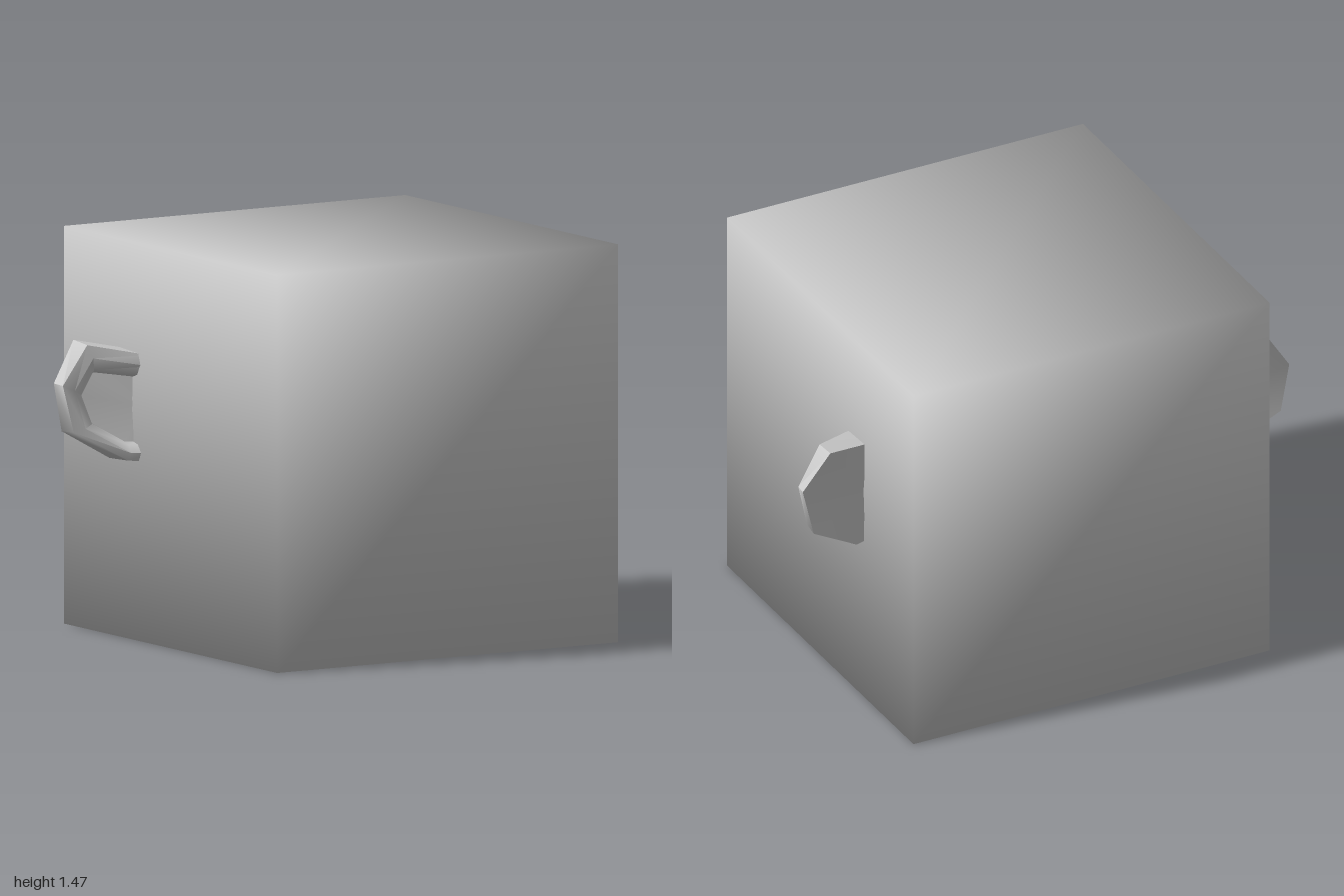
import * as THREE from 'three';
import { mergeVertices, toCreasedNormals } from 'three/addons/utils/BufferGeometryUtils.js';

const SIZE = 1.464;
const grey = new THREE.MeshStandardMaterial({ color: 0xcccccc });

// Cube with normals blended across its eight shared corners
function createHead() {
  let geo = new THREE.BoxGeometry(SIZE, SIZE, SIZE);
  geo.deleteAttribute('uv');
  geo.deleteAttribute('normal');
  geo = mergeVertices(geo);
  const p = geo.attributes.position;
  const normals = [];
  for (let i = 0; i < p.count; i++) {
    normals.push(...new THREE.Vector3().fromBufferAttribute(p, i).normalize().toArray());
  }
  geo.setAttribute('normal', new THREE.Float32BufferAttribute(normals, 3));
  const mesh = new THREE.Mesh(geo, grey);
  mesh.position.y = SIZE / 2 + 0.001;
  mesh.name = 'head';
  return mesh;
}

// Ear stations around the rim: outer x, y, inner x, y, front z, back z
const RIM = [
  [0.70, 1.06, 0.70, 0.965, -0.19, -0.34],
  [0.90, 1.10, 0.86, 0.985, -0.295, -0.40],
  [1.00, 0.95, 0.90, 0.90, -0.31, -0.375],
  [0.96, 0.77, 0.86, 0.80, -0.30, -0.385],
  [0.77, 0.66, 0.76, 0.73, -0.22, -0.36],
  [0.70, 0.655, 0.70, 0.73, -0.19, -0.33],
];

function createEar(side) {
  const pos = [];
  const index = [];
  const rows = 5;
  const face = (a, b, c) => index.push(...(side > 0 ? [a, b, c] : [a, c, b]));

  // Rim section: back edge, outer wall, rounded crest, inner lip, recess floor
  for (const [ox, oy, ix, iy, front, back] of RIM) {
    const section = [
      [0, back],
      [0.08, front - 0.015],
      [0.5, front],
      [0.9, front - 0.02],
      [1, front - 0.05],
    ];
    for (const [t, z] of section) {
      pos.push(side * THREE.MathUtils.lerp(ox, ix, t), THREE.MathUtils.lerp(oy, iy, t), z);
    }
  }
  const backCentre = pos.length / 3;
  pos.push(side * 0.70, 0.86, -0.335, side * 0.70, 0.86, -0.245);
  const floorCentre = backCentre + 1;

  for (let s = 0; s < RIM.length - 1; s++) {
    const a = s * rows;
    const b = a + rows;
    for (let r = 0; r < rows - 1; r++) {
      face(a + r, a + r + 1, b + r + 1);
      face(a + r, b + r + 1, b + r);
    }
    face(backCentre, a, b);
    face(floorCentre, b + rows - 1, a + rows - 1);
  }
  const geo = new THREE.BufferGeometry();
  geo.setAttribute('position', new THREE.Float32BufferAttribute(pos, 3));
  geo.setIndex(index);
  const mesh = new THREE.Mesh(toCreasedNormals(geo, 0.8), grey);
  mesh.name = side > 0 ? 'leftEar' : 'rightEar';
  return mesh;
}

// Round neck plate under the head
function createNeckPlate() {
  const mesh = new THREE.Mesh(new THREE.CircleGeometry(SIZE / 2, 64).rotateX(Math.PI / 2), grey);
  mesh.name = 'neckPlate';
  return mesh;
}

export function createModel() {
  const model = new THREE.Group();
  model.name = 'cubeHead';
  model.add(createHead(), createNeckPlate(), createEar(1), createEar(-1));
  return model;
}
